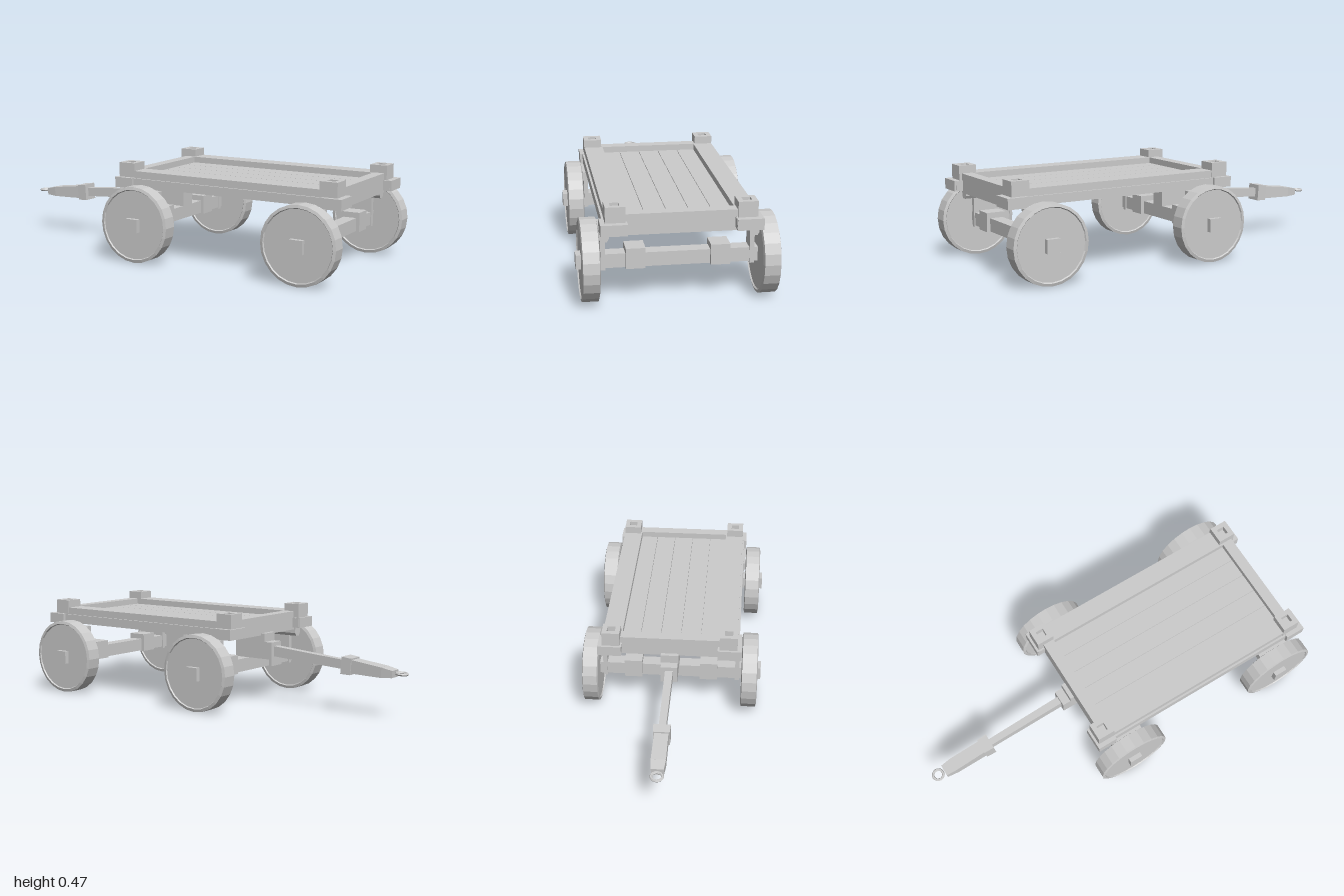
import * as THREE from 'three';

const material = new THREE.MeshStandardMaterial({ color: 0xcccccc, flatShading: true, side: THREE.DoubleSide });

function add(parent, name, geometry) {
  const mesh = new THREE.Mesh(geometry, material);
  mesh.name = name;
  parent.add(mesh);
  return mesh;
}

// Box given by its limits along each axis
function block(parent, name, [x0, x1], [y0, y1], [z0, z1]) {
  const mesh = add(parent, name, new THREE.BoxGeometry(x1 - x0, y1 - y0, z1 - z0));
  mesh.position.set((x0 + x1) / 2, (y0 + y1) / 2, (z0 + z1) / 2);
  return mesh;
}

// Box along x whose -x end is scaled in height and width
function taperedBar(parent, name, [x0, x1], height, width, endY, endZ) {
  const geometry = new THREE.BoxGeometry(x1 - x0, height, width);
  const p = geometry.attributes.position;
  for (let i = 0; i < p.count; i++) {
    if (p.getX(i) < 0) p.setXYZ(i, p.getX(i), p.getY(i) * endY, p.getZ(i) * endZ);
  }
  geometry.computeVertexNormals();
  const mesh = add(parent, name, geometry);
  mesh.position.x = (x0 + x1) / 2;
  return mesh;
}

// Solid disc wheel with a raised rim on both faces
function wheelGeometry() {
  const r = 0.188, h = 0.04, lip = 0.17, inset = 0.034;
  const profile = [[0, -inset], [lip, -inset], [lip + 0.004, -h], [r, -h + 0.004], [r, h - 0.004],
    [lip + 0.004, h], [lip, inset], [0, inset]].map(([x, y]) => new THREE.Vector2(x, y));
  return new THREE.LatheGeometry(profile, 24).rotateX(Math.PI / 2);
}

// Square corner post with a square socket in its top
function postGeometry() {
  const square = (Shape, s) => new Shape([[-s, -s], [s, -s], [s, s], [-s, s]].map(([x, y]) => new THREE.Vector2(x, y)));
  const shape = square(THREE.Shape, 0.044);
  shape.holes.push(square(THREE.Path, 0.02));
  return new THREE.ExtrudeGeometry(shape, { depth: 0.073, bevelEnabled: false }).rotateX(-Math.PI / 2);
}

// Bolster under the deck edge: flared head running along x
function bolsterGeometry(length) {
  const shape = new THREE.Shape([[-0.022, 0.345], [0.022, 0.345], [0.022, 0.31], [0.013, 0.295], [-0.013, 0.295], [-0.022, 0.31]]
    .map(([x, y]) => new THREE.Vector2(x, y)));
  return new THREE.ExtrudeGeometry(shape, { depth: length, bevelEnabled: false })
    .translate(0, 0, -length / 2).rotateY(Math.PI / 2);
}

export function createModel() {
  const cart = new THREE.Group();
  cart.name = 'flatCart';

  // Deck: planks over a thin base, framed by end rails and side rails
  const deck = new THREE.Group();
  deck.name = 'deck';
  cart.add(deck);
  block(deck, 'deckBase', [-0.19, 0.92], [0.343, 0.39], [-0.25, 0.25]);
  const planks = 5, plankWidth = 0.5 / planks;
  for (let i = 0; i < planks; i++) {
    const z = -0.25 + i * plankWidth;
    block(deck, 'plank', [-0.15, 0.88], [0.385, 0.405], [z + 0.001, z + plankWidth - 0.001]);
  }
  block(deck, 'frontRail', [-0.2, -0.143], [0.34, 0.435], [-0.25, 0.25]);
  block(deck, 'rearRail', [0.875, 0.93], [0.34, 0.435], [-0.25, 0.25]);

  for (const side of [-1, 1]) {
    const span = (a, b) => (side > 0 ? [a, b] : [-b, -a]);
    block(deck, 'sideBeam', [-0.235, 0.965], [0.357, 0.4], span(0.236, 0.342));
    block(deck, 'sideRail', [-0.17, 0.9], [0.39, 0.435], span(0.238, 0.332));
    // Corner plates and socketed posts
    for (const [plateX, postX] of [[-0.192, -0.186], [0.923, 0.9]]) {
      block(deck, 'cornerPlate', [plateX - 0.05, plateX + 0.05], [0.351, 0.402], span(0.238, 0.355));
      add(deck, 'cornerPost', postGeometry()).position.set(postX, 0.4, side * 0.289);
      block(deck, 'postSocketFloor', [postX - 0.02, postX + 0.02], [0.4, 0.44], span(0.269, 0.309));
    }
  }

  // Running gear: axle, wheels, blocks and deck supports
  for (const [name, x] of [['frontAxle', -0.082], ['rearAxle', 0.8]]) {
    const gear = new THREE.Group();
    gear.name = name + 'Assembly';
    gear.position.x = x;
    cart.add(gear);
    block(gear, name, [-0.033, 0.033], [0.155, 0.22], [-0.453, 0.453]);
    for (const side of [-1, 1]) {
      const span = (a, b) => (side > 0 ? [a, b] : [-b, -a]);
      add(gear, 'wheel', wheelGeometry()).position.set(0, 0.188, side * 0.396);
      block(gear, 'axleBlock', [-0.05, 0.05], [0.152, 0.247], span(0.146, 0.234));
      block(gear, 'strut', [-0.038, 0.038], [0.147, 0.3], span(0.324, 0.345));
      add(gear, 'bolster', bolsterGeometry(0.17)).position.z = side * 0.333;
    }
  }

  // Drawbar mount under the deck
  block(cart, 'drawbarBeam', [-0.22, 0.385], [0.307, 0.35], [-0.044, 0.044]);
  block(cart, 'drawbarMount', [-0.262, -0.04], [0.222, 0.308], [-0.041, 0.041]);

  // Drawbar, sloping gently down to a grip and pull ring
  const drawbar = new THREE.Group();
  drawbar.name = 'drawbar';
  drawbar.position.set(-0.2, 0.267, 0);
  drawbar.rotation.z = 0.07;
  cart.add(drawbar);
  taperedBar(drawbar, 'shaft', [-0.5, 0], 0.052, 0.04, 0.85, 0.85);
  taperedBar(drawbar, 'collar', [-0.517, -0.465], 0.084, 0.082, 0.95, 0.95);
  taperedBar(drawbar, 'grip', [-0.68, -0.51], 0.066, 0.066, 0.75, 1.05);
  taperedBar(drawbar, 'gripTip', [-0.735, -0.68], 0.049, 0.069, 0.7, 0.85);
  const ring = add(drawbar, 'pullRing', new THREE.TorusGeometry(0.026, 0.007, 6, 16));
  ring.rotation.x = Math.PI / 2;
  ring.position.set(-0.77, 0.006, 0);

  return cart;
}
